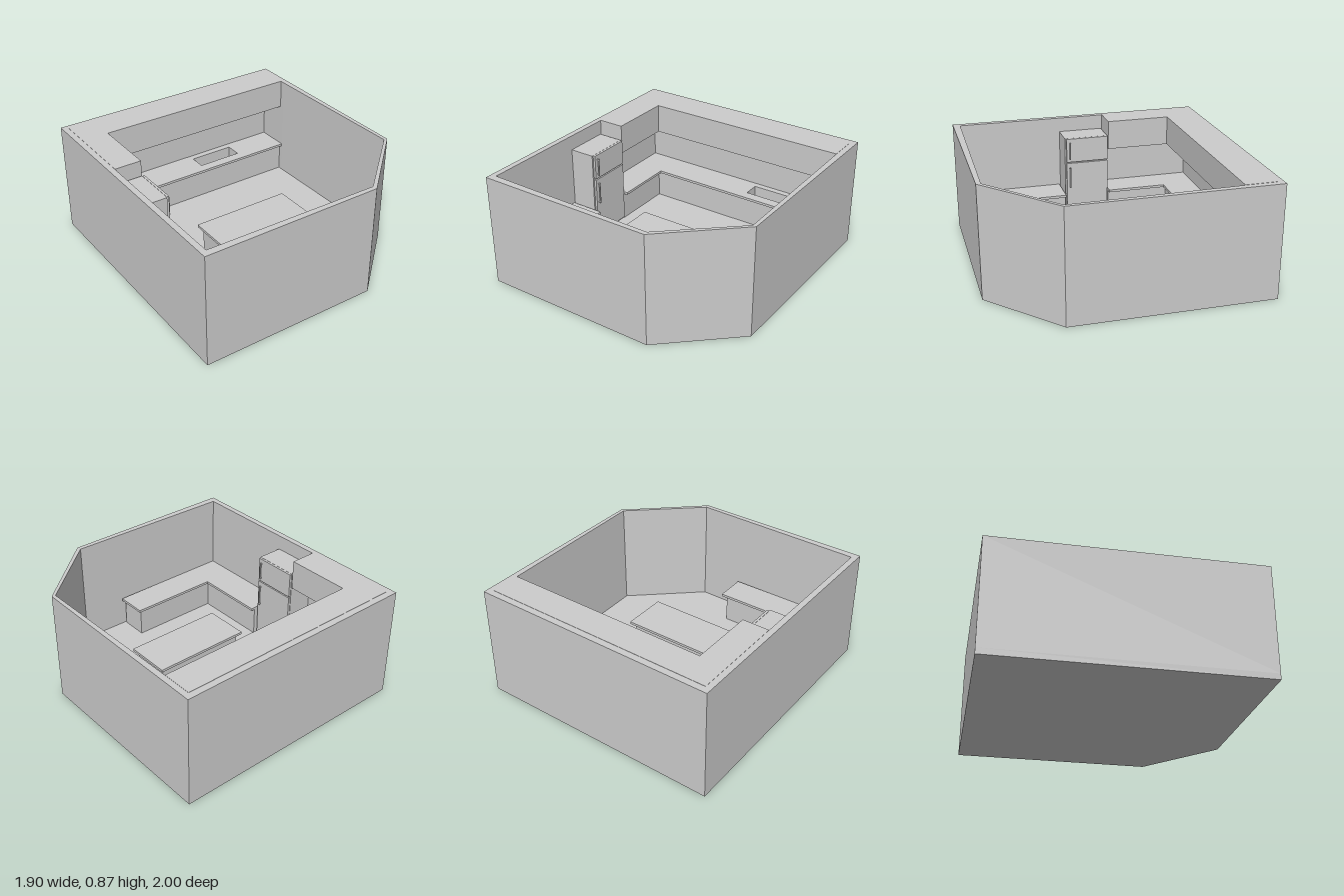
import * as THREE from 'three';

const material = new THREE.MeshStandardMaterial({ color: 0xcccccc, flatShading: true });

const FLOOR = 0.045, COUNTER = 0.29, SLAB = 0.02, TOP = 0.865;

// Extrudes a plan outline of [x, z] corners from height y0 to y1
function prism(name, outline, y0, y1, hole) {
  const points = (list) => list.map(([x, z]) => new THREE.Vector2(x, z));
  const shape = new THREE.Shape(points(outline));
  if (hole) shape.holes.push(new THREE.Path(points(hole)));
  const geometry = new THREE.ExtrudeGeometry(shape, { depth: y1 - y0, bevelEnabled: false });
  geometry.rotateX(Math.PI / 2).translate(0, y1, 0);
  const mesh = new THREE.Mesh(geometry, material);
  mesh.name = name;
  return mesh;
}

const rect = (x0, x1, z0, z1) => [[x0, z0], [x1, z0], [x1, z1], [x0, z1]];

function box(name, x0, x1, y0, y1, z0, z1) {
  const geometry = new THREE.BoxGeometry(x1 - x0, y1 - y0, z1 - z0);
  const mesh = new THREE.Mesh(geometry, material);
  mesh.position.set((x0 + x1) / 2, (y0 + y1) / 2, (z0 + z1) / 2);
  mesh.name = name;
  return mesh;
}

// L along the back wall and the right-hand wall
const backL = (x, z) => [[-0.905, -0.95], [0.905, -0.95], [0.905, z], [x, z], [x, -0.22], [-0.905, -0.22]];

// L along the right-hand wall and the front wall
const frontL = (x, z, end) => [[-0.905, 0.15], [x, 0.15], [x, z], [end, z], [end, 0.945], [-0.905, 0.945]];

function createRoom() {
  const room = new THREE.Group();
  room.name = 'room';
  const outer = [[-0.95, -1], [0.95, -1], [0.95, 0.52], [0.42, 1], [-0.95, 1]];
  const inner = [[-0.905, -0.95], [0.905, -0.95], [0.905, -0.69], [0.922, 0.515], [0.415, 0.965], [-0.905, 0.945]];
  room.add(prism('floor', outer, 0, FLOOR), prism('walls', outer, FLOOR, TOP, inner));
  return room;
}

function createBackUnits() {
  const units = new THREE.Group();
  units.name = 'backUnits';
  const sink = rect(0.14, 0.5, -0.9, -0.77);
  units.add(
    prism('baseCabinets', backL(-0.7, -0.72), FLOOR, COUNTER - SLAB, sink),
    prism('countertop', backL(-0.66, -0.69), COUNTER - SLAB, COUNTER, sink),
    box('sinkBottom', 0.14, 0.5, 0.17, 0.19, -0.9, -0.77),
    prism('wallCabinets', backL(-0.7, -0.72), 0.635, TOP + 0.002)
  );
  return units;
}

function createFrontUnits() {
  const units = new THREE.Group();
  units.name = 'frontUnits';
  units.add(
    prism('baseCabinets', frontL(-0.67, 0.735, 0.04), FLOOR, COUNTER - SLAB),
    prism('countertop', frontL(-0.64, 0.705, 0.07), COUNTER - SLAB, COUNTER)
  );
  return units;
}

function createFridge() {
  const fridge = new THREE.Group();
  fridge.name = 'fridge';
  fridge.add(box('fridgeBody', -0.905, -0.705, FLOOR, 0.75, -0.21, 0.14));
  // Lower door and freezer door, each with a bar handle on two posts
  for (const [name, y0, y1, h0, h1] of [
    ['fridgeDoor', 0.065, 0.545, 0.34, 0.51],
    ['freezerDoor', 0.555, 0.75, 0.58, 0.72],
  ]) {
    fridge.add(box(name, -0.703, -0.685, y0, y1, -0.208, 0.13));
    const bar = new THREE.Mesh(new THREE.CylinderGeometry(0.006, 0.006, h1 - h0, 8), material);
    bar.position.set(-0.673, (h0 + h1) / 2, 0.103);
    bar.name = 'handle';
    fridge.add(bar);
    for (const y of [h0 + 0.008, h1 - 0.008]) {
      fridge.add(box('handlePost', -0.686, -0.672, y - 0.006, y + 0.006, 0.098, 0.108));
    }
  }
  return fridge;
}

function createIsland() {
  const island = new THREE.Group();
  island.name = 'island';
  island.add(
    box('islandCabinet', -0.325, 0.395, FLOOR, COUNTER - SLAB, -0.015, 0.28),
    box('islandTop', -0.355, 0.425, COUNTER - SLAB, COUNTER, -0.045, 0.31)
  );
  return island;
}

export function createModel() {
  const model = new THREE.Group();
  model.name = 'kitchen';
  model.add(createRoom(), createBackUnits(), createFrontUnits(), createFridge(), createIsland());
  return model;
}
